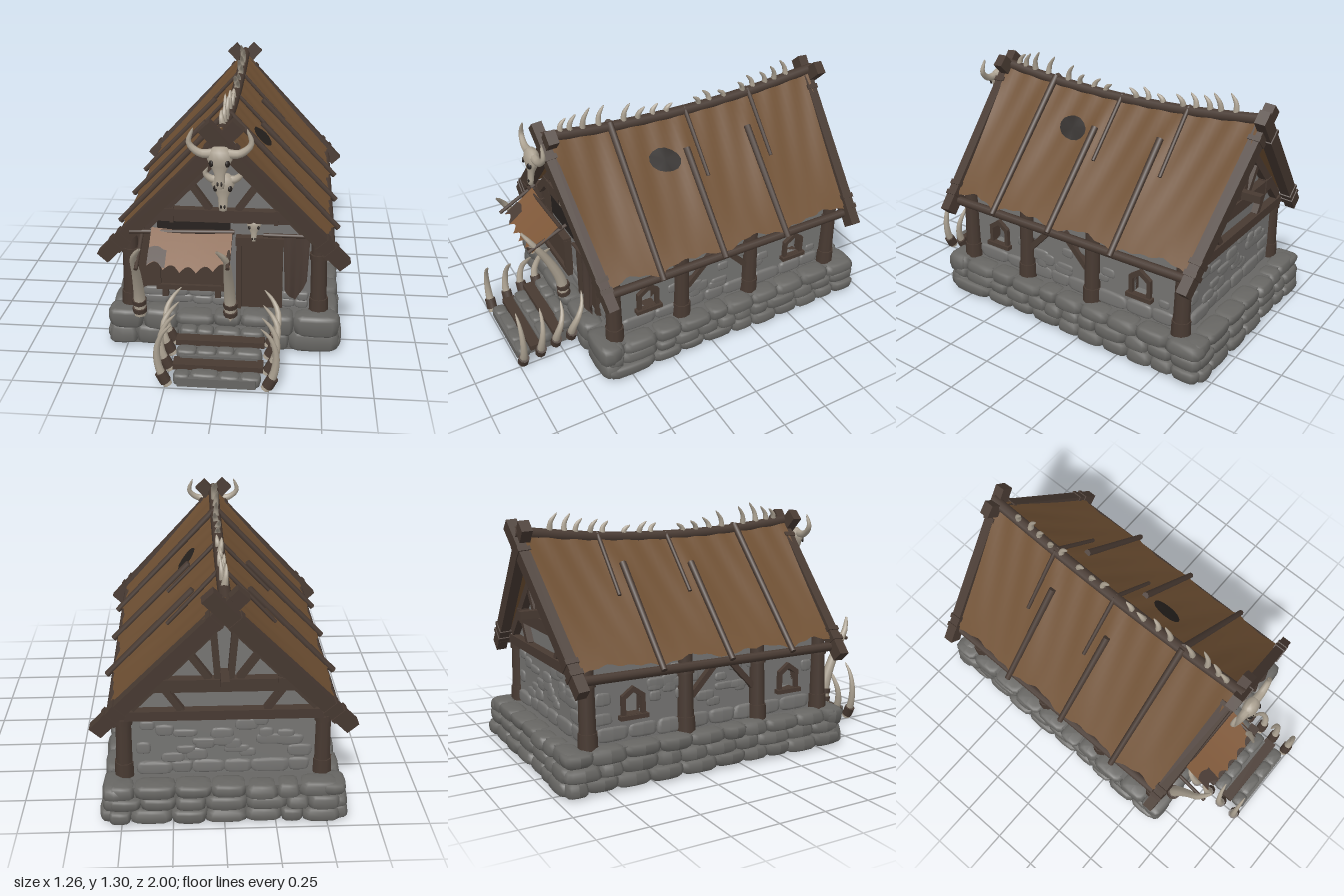
import * as THREE from 'three';

const V = (x, y, z) => new THREE.Vector3(x, y, z);
const mat = (name, color, side = THREE.FrontSide) => {
  const m = new THREE.MeshStandardMaterial({ color, side });
  m.name = name;
  return m;
};

export function createModel() {
  const root = new THREE.Group();
  const M = {
    stone: mat('foundation stone', 0x676663),
    wall: mat('wall stone', 0x757472),
    wood: mat('dark timber', 0x483a32),
    cloth: mat('dark leather', 0x493b34, THREE.DoubleSide),
    hide: mat('roof hide', 0x6f5033, THREE.DoubleSide),
    awning: mat('awning hide', 0x80593a, THREE.DoubleSide),
    bone: mat('bone', 0xaca292, THREE.DoubleSide),
    dark: mat('shadowy hole', 0x26211e, THREE.DoubleSide),
  };
  let seed = 7;
  const rnd = (a = 0, b = 1) => {
    seed = (seed * 16807) % 2147483647;
    return a + (b - a) * (seed / 2147483647);
  };
  const group = (name, parent = root) => {
    const g = new THREE.Group();
    g.name = name;
    parent.add(g);
    return g;
  };
  const add = (parent, name, geo, material) => {
    const m = new THREE.Mesh(geo, material);
    m.name = name;
    parent.add(m);
    return m;
  };
  const block = (p, name, x, y, z, w, h, d, m = M.wood) => add(p, name, new THREE.BoxGeometry(w, h, d).translate(x, y, z), m);
  const between = (mesh, a, b) => {
    mesh.position.copy(a).lerp(b, 0.5);
    mesh.quaternion.setFromUnitVectors(V(0, 1, 0), b.clone().sub(a).normalize());
    return mesh;
  };
  const beam = (p, name, a, b, w, d, m = M.wood) => between(add(p, name, new THREE.BoxGeometry(w, a.distanceTo(b), d), m), a, b);
  const pole = (p, name, a, b, r, r2 = r, m = M.wood) => between(add(p, name, new THREE.CylinderGeometry(r2, r, a.distanceTo(b), 9), m), a, b);

  // Tapered curved horn or tusk
  const tusk = (p, name, pts, r, tip = 0.08) => {
    const curve = new THREE.CatmullRomCurve3(pts), seg = 12, rad = 8;
    const geo = new THREE.TubeGeometry(curve, seg, 1, rad), pos = geo.attributes.position, v = V(0, 0, 0);
    for (let i = 0; i < pos.count; i++) {
      const t = Math.floor(i / (rad + 1)) / seg, c = curve.getPointAt(t);
      v.fromBufferAttribute(pos, i).sub(c).multiplyScalar(r * (tip + (1 - tip) * Math.pow(1 - t, 0.6))).add(c);
      pos.setXYZ(i, v.x, v.y, v.z);
    }
    return add(p, name, geo, M.bone);
  };

  // Rounded boulder: a sphere pushed towards a box, flat on the ground
  const boulder = (p, x, y, z, w, h, d, m = M.stone) => {
    const geo = new THREE.SphereGeometry(1, 12, 8), pos = geo.attributes.position;
    const sq = (n) => Math.sign(n) * Math.pow(Math.abs(n), 0.55);
    const kx = rnd(-0.12, 0.12), ky = rnd(-0.12, 0.12);
    for (let i = 0; i < pos.count; i++) {
      const a = sq(pos.getX(i)), b = sq(pos.getY(i)), c = sq(pos.getZ(i));
      pos.setXYZ(i, x + a * w / 2 * (1 + kx * b), Math.max(0, y + b * h / 2 * (1 + ky * (a + c) / 2)), z + c * d / 2 * (1 + kx * b));
    }
    geo.computeVertexNormals();
    return add(p, 'boulder', geo, m);
  };
  // Course of boulders running along x or z
  const course = (p, axis, from, to, fixed, y, h, depth, size, m) => {
    for (let t = from; t < to - 0.02;) {
      let w = size * rnd(0.7, 1.35);
      if (to - t - w < size * 0.5) w = to - t;
      const c = t + w / 2, hh = h * rnd(0.98, 1.15), f = fixed + rnd(-0.008, 0.008);
      if (axis === 'x') boulder(p, c, y, f, w * 1.06, hh, depth, m);
      else boulder(p, f, y, c, depth, hh, w * 1.06, m);
      t += w;
    }
  };

  // Foundation
  const base = group('foundation');
  block(base, 'foundation core', 0, 0.095, -0.15, 1.1, 0.19, 1.56, M.stone);
  for (let r = 0; r < 3; r++) {
    const y = 0.035 + r * 0.064, inset = r * 0.008;
    for (const s of [-1, 1]) course(base, 'z', -0.96, 0.63, s * (0.543 - inset), y, 0.07, 0.12, 0.15);
    course(base, 'x', -0.56, 0.56, -0.92 + inset, y, 0.07, 0.12, 0.15);
  }
  for (const s of [-1, 1]) for (let r = 0; r < 2; r++)
    course(base, 'x', s < 0 ? -0.59 : 0.23, s < 0 ? -0.23 : 0.59, 0.6, 0.055 + r * 0.09, 0.11, 0.13, 0.15);
  course(base, 'x', -0.24, 0.24, 0.61, 0.165, 0.06, 0.12, 0.17);

  // Entrance steps: stone rows alternating with timber treads
  const steps = group('entrance steps');
  for (const [z, h] of [[0.95, 0.055], [0.82, 0.105], [0.7, 0.15]]) {
    block(steps, 'step core', 0, h * 0.42, z - 0.02, 0.38, h * 0.84, 0.13, M.stone);
    course(steps, 'x', -0.21, 0.21, z, h - 0.03, 0.06, 0.075, 0.11);
  }
  block(steps, 'lower tread', 0, 0.06, 0.888, 0.44, 0.03, 0.07);
  block(steps, 'upper tread', 0, 0.115, 0.762, 0.44, 0.03, 0.06);
  for (const s of [-1, 1]) [[0.98, 0, 0.33], [0.88, 0.02, 0.31], [0.79, 0.05, 0.31], [0.7, 0.06, 0.33]].forEach(([z, y, top], i) => {
    const k = i * 0.012;
    tusk(steps, 'railing tusk', [V(s * 0.235, y, z), V(s * 0.275, y + 0.09, z), V(s * 0.283, (y + top) / 2 + 0.03, z - k), V(s * 0.255, top - 0.05, z - k * 2), V(s * 0.21, top, z - k * 2.5)], 0.024);
    pole(steps, 'tusk binding', V(s * 0.245, y + 0.015, z), V(s * 0.27, y + 0.065, z), 0.029);
  });

  // Walls with real window openings
  const walls = group('walls');
  const windowPts = (z, k) => [[z - 0.042 * k, 0.375 - 0.05 * k], [z + 0.042 * k, 0.375 - 0.05 * k], [z + 0.042 * k, 0.375 + 0.03 * k], [z, 0.375 + 0.06 * k], [z - 0.042 * k, 0.375 + 0.03 * k]].map(([a, b]) => new THREE.Vector2(a, b));
  const windows = [0.35, -0.57];
  for (const s of [-1, 1]) {
    const wall = new THREE.Shape([[-0.82, 0.18], [0.53, 0.18], [0.53, 0.6], [-0.82, 0.6]].map(([a, b]) => new THREE.Vector2(a, b)));
    windows.forEach((z) => wall.holes.push(new THREE.Path(windowPts(z, 1))));
    const side = (shape, outer, depth) => new THREE.ExtrudeGeometry(shape, { depth, bevelEnabled: false }).rotateY(-Math.PI / 2).translate(s > 0 ? outer : depth - outer, 0, 0);
    add(walls, 'side wall', side(wall, 0.47, 0.04), M.wall);
    windows.forEach((z) => {
      const frame = new THREE.Shape(windowPts(z, 1.5));
      frame.holes.push(new THREE.Path(windowPts(z, 1)));
      add(walls, 'window frame', side(frame, 0.492, 0.06), M.wood);
      block(walls, 'window sill', s * 0.485, 0.313, z, 0.04, 0.022, 0.15);
    });
    course(walls, 'z', -0.76, 0.5, s * 0.468, 0.235, 0.07, 0.035, 0.14, M.wall);
    for (let i = 0; i < 26; i++) {
      const z = rnd(-0.74, 0.48), y = rnd(0.29, 0.52);
      if (windows.every((w) => Math.abs(w - z) > 0.12)) boulder(walls, s * 0.468, y, z, 0.024, rnd(0.04, 0.07), rnd(0.06, 0.12), M.wall);
    }
  }
  const gable = new THREE.Shape([[-0.47, 0.18], [0.47, 0.18], [0.47, 0.6], [0, 1.09], [-0.47, 0.6]].map(([a, b]) => new THREE.Vector2(a, b)));
  for (const z of [0.49, -0.82]) add(walls, 'gable wall', new THREE.ExtrudeGeometry(gable, { depth: 0.04, bevelEnabled: false }).translate(0, 0, z), M.wall);
  course(walls, 'x', -0.42, 0.42, -0.82, 0.235, 0.07, 0.035, 0.14, M.wall);
  for (let i = 0; i < 22; i++) boulder(walls, rnd(-0.4, 0.4), rnd(0.29, 0.5), -0.82, rnd(0.07, 0.13), rnd(0.04, 0.07), 0.024, M.wall);
  for (const [a, b] of [[-0.42, 0.06], [0.29, 0.43]]) for (const y of [0.22, 0.265]) course(walls, 'x', a, b, 0.533, y, 0.045, 0.035, 0.1, M.wall);

  // Posts, braces and eave poles
  const frame = group('timber frame');
  for (const s of [-1, 1]) {
    for (const z of [0.55, 0.15, -0.28, -0.81]) {
      pole(frame, 'post', V(s * 0.485, 0.18, z), V(s * 0.475, 0.6, z), 0.044, 0.038);
      pole(frame, 'post collar', V(s * 0.485, 0.19, z), V(s * 0.484, 0.27, z), 0.05, 0.048);
      pole(frame, 'post top collar', V(s * 0.478, 0.49, z), V(s * 0.476, 0.52, z), 0.047);
    }
    beam(frame, 'side brace', V(s * 0.485, 0.37, 0.12), V(s * 0.485, 0.53, -0.03), 0.03, 0.03);
    beam(frame, 'side brace', V(s * 0.485, 0.37, -0.25), V(s * 0.485, 0.53, -0.1), 0.03, 0.03);
    pole(frame, 'eave pole', V(s * 0.535, 0.535, 0.62), V(s * 0.535, 0.535, -0.9), 0.024);
    // Crossing gable rafters, leaning outwards at the ridge
    for (const [zb, zt] of [[0.61, 0.665], [-0.88, -0.95]]) {
      const a = V(s * 0.605, 0.49, zb), b = V(-s * 0.08, 1.215, zt + s * 0.012);
      beam(frame, 'gable rafter', a, b, 0.072, 0.055);
      for (const t of [0.09, 0.15, 0.8]) beam(frame, 'rafter binding', a.clone().lerp(b, t), a.clone().lerp(b, t + 0.025), 0.084, 0.066);
    }
  }
  for (const [z, d] of [[0.55, 1], [-0.84, -1]]) {
    beam(frame, 'tie beam', V(-0.33, 0.71, z), V(0.33, 0.71, z), 0.065, 0.05);
    for (const s of [-1, 1]) {
      beam(frame, 'inner rafter', V(s * 0.44, 0.59, z), V(0, 1.05, z), 0.045, 0.04);
      beam(frame, 'gable strut', V(s * 0.07, 0.74, z), V(s * 0.16, 0.87, z), 0.032, 0.035);
      beam(frame, 'tie binding', V(s * 0.25, 0.71, z), V(s * 0.27, 0.71, z), 0.075, 0.06);
      if (d < 0) {
        beam(frame, 'fan strut', V(s * 0.03, 0.74, z), V(s * 0.05, 0.99, z), 0.032, 0.035);
        beam(frame, 'fan strut', V(s * 0.2, 0.57, z), V(s * 0.28, 0.69, z), 0.032, 0.035);
      }
    }
  }
  beam(frame, 'back cross beam', V(-0.47, 0.55, -0.84), V(0.47, 0.55, -0.84), 0.05, 0.05);
  beam(frame, 'beam end', V(0, 0.765, -0.96), V(0, 0.765, -0.83), 0.04, 0.04);

  // Hide roof, sagging between the poles
  const roof = group('roof');
  const ridgeY = (z) => 1.115 + 0.05 * Math.pow((z + 0.15) / 0.78, 2);
  const poleZ = [0.64, 0.31, -0.06, -0.45, -0.92];
  const roofPoint = (s, u, v, lift = 0) => {
    const z = THREE.MathUtils.lerp(0.59 + 0.06 * (1 - u), -0.865 - 0.07 * (1 - u), v);
    const i = Math.max(0, Math.min(3, poleZ.findIndex((p, k) => k > 0 && z >= p) - 1));
    const sag = Math.sin(Math.PI * THREE.MathUtils.clamp((poleZ[i] - z) / (poleZ[i] - poleZ[i + 1]), 0, 1));
    const ripple = 0.004 * Math.sin(v * 70 + u * 6) * (1 - u);
    const x = u * (0.555 - 0.025 * sag * u + 0.008 * u * Math.sin(v * 61) * Math.sin(v * 23));
    const y = ridgeY(z) + 0.022 - (ridgeY(z) - 0.52) * x / 0.575 - 0.016 * sag * Math.sin(Math.PI * u) + ripple + lift;
    return V(s * (x + lift * 0.7), y, z);
  };
  for (const s of [-1, 1]) {
    const geo = new THREE.PlaneGeometry(1, 1, 18, 60), uv = geo.attributes.uv, pos = geo.attributes.position;
    for (let i = 0; i < pos.count; i++) {
      const p = roofPoint(s, uv.getX(i), uv.getY(i));
      pos.setXYZ(i, p.x, p.y, p.z);
    }
    if (s > 0) geo.index.array.reverse();
    geo.computeVertexNormals();
    if (geo.attributes.normal.getY(300) < 0) { geo.index.array.reverse(); geo.computeVertexNormals(); }
    add(roof, 'hide slope', geo, M.hide);
    for (const [z, a, b, r] of [[0.31, 0, 1.04, 0.019], [-0.06, 0.27, 1.04, 0.019], [-0.45, 0.24, 1.04, 0.019], [-0.13, 0, 0.48, 0.012], [-0.53, 0, 0.48, 0.012]]) {
      const v = (0.62 - z) / 1.52;
      const p = roofPoint(s, a, v, 0.006), q = roofPoint(s, b, v, 0.006);
      p.z = q.z = z;
      pole(roof, 'roof pole', p, q, r, r * 0.85);
    }
  }
  // Torn hole on the left slope
  const tear = new THREE.CircleGeometry(1, 14), tp = tear.attributes.position;
  for (let i = 0; i < tp.count; i++) {
    const p = roofPoint(1, 0.3 + tp.getX(i) * 0.085, 0.36 + tp.getY(i) * 0.055 + tp.getX(i) * 0.012, 0.005);
    tp.setXYZ(i, p.x, p.y, p.z);
  }
  tear.computeVertexNormals();
  add(roof, 'torn hole', tear, M.dark);
  // Ridge pole and spines
  const ridge = new THREE.CatmullRomCurve3([0.68, 0.3, -0.15, -0.55, -0.97].map((z) => V(0, ridgeY(z) + 0.008, z)));
  add(roof, 'ridge pole', new THREE.TubeGeometry(ridge, 24, 0.03, 8), M.wood);
  [[0.58, 0.07], [0.53, 0.09], [0.46, 0.12], [0.37, 0.11], [0.23, 0.1], [0.15, 0.07], [0.06, 0.06], [-0.02, 0.05], [-0.22, 0.06], [-0.29, 0.07], [-0.38, 0.05], [-0.5, 0.07], [-0.57, 0.08], [-0.65, 0.08], [-0.71, 0.1], [-0.79, 0.1]].forEach(([z, h], i) => {
    const y = ridgeY(z) + 0.02, x = (i % 3 - 1) * 0.008, d = z > -0.2 ? -1 : 1;
    tusk(roof, 'ridge spine', [V(0, y, z), V(x, y + h * 0.55, z + d * 0.008), V(x * 1.5, y + h, z + d * 0.04)], 0.018);
  });

  // Horned skulls
  const skull = (name, x, y, z, k, hornWide, hornUp) => {
    const g = group(name);
    const prof = [[0.001, -0.52], [0.1, -0.5], [0.12, -0.36], [0.13, -0.15], [0.22, 0.04], [0.3, 0.2], [0.27, 0.38], [0.16, 0.48], [0.001, 0.5]].map(([a, b]) => new THREE.Vector2(a, b));
    add(g, 'skull bone', new THREE.LatheGeometry(prof, 14).scale(1, 1, 0.62), M.bone);
    for (const s of [-1, 1]) {
      const eye = add(g, 'eye socket', new THREE.SphereGeometry(0.075, 10, 6).scale(0.9, 1.1, 0.5), M.dark);
      eye.position.set(s * 0.19, 0.12, 0.13);
      eye.rotation.y = s * 0.75;
      const nose = add(g, 'nostril', new THREE.SphereGeometry(0.03, 8, 6).scale(0.8, 2, 0.5), M.dark);
      nose.position.set(s * 0.045, -0.38, 0.068);
      tusk(g, 'horn', [V(s * 0.14, 0.33, 0), V(s * hornWide * 0.65, 0.34, 0), V(s * hornWide, 0.34 + hornUp * 0.4, 0), V(s * hornWide * 0.86, 0.34 + hornUp, 0.02)], 0.12);
    }
    g.position.set(x, y, z);
    g.scale.setScalar(k);
    g.rotation.x = -0.12;
  };
  skull('great gable skull', 0, 1.035, 0.745, 0.2, 0.72, 0.58);
  skull('middle gable skull', 0, 0.85, 0.59, 0.19, 0.46, 0.36);
  skull('door skull', 0.15, 0.64, 0.56, 0.12, 0.4, 0.32);

  // Front: door, counter and panels
  const front = group('shop front');
  block(front, 'door', 0.18, 0.37, 0.535, 0.2, 0.36, 0.02);
  beam(front, 'door lintel', V(0.06, 0.575, 0.55), V(0.31, 0.575, 0.55), 0.045, 0.045);
  for (const x of [0.075, 0.285]) block(front, 'door jamb', x, 0.38, 0.545, 0.025, 0.38, 0.04);
  block(front, 'left panel', -0.39, 0.44, 0.53, 0.11, 0.34, 0.02);
  block(front, 'shutter opening', -0.155, 0.58, 0.53, 0.37, 0.2, 0.01, M.dark);
  block(front, 'counter board', -0.165, 0.42, 0.58, 0.33, 0.2, 0.03);
  for (const y of [0.325, 0.52]) block(front, 'counter rail', -0.165, y, 0.59, 0.35, 0.028, 0.045);
  for (const x of [-0.33, 0]) block(front, 'counter stile', x, 0.42, 0.588, 0.024, 0.2, 0.042);
  for (const x of [-0.3, -0.03]) block(front, 'counter peg', x, 0.29, 0.575, 0.03, 0.06, 0.03);

  // Awning on two leaning tusks
  const awning = group('awning');
  for (const [x, d] of [[-0.425, 1], [0.04, -1]]) {
    tusk(awning, 'awning tusk', [V(x, 0.18, 0.64), V(x + d * 0.002, 0.3, 0.655), V(x + d * 0.005, 0.45, 0.715), V(x + d * 0.01, 0.58, 0.79), V(x + d * 0.05, 0.645, 0.835)], 0.033, 0.2);
    for (const y of [0.2, 0.245]) pole(awning, 'tusk binding', V(x, y, 0.642), V(x, y + 0.025, 0.647), 0.037);
  }
  pole(awning, 'awning rod', V(-0.46, 0.645, 0.64), V(0.06, 0.66, 0.64), 0.011);
  pole(awning, 'awning side rod', V(-0.4, 0.65, 0.6), V(-0.4, 0.53, 0.82), 0.01);
  pole(awning, 'awning side rod', V(0.04, 0.65, 0.6), V(0.04, 0.55, 0.82), 0.01);
  const sheet = (parent, name, nx, ny, fn, m) => {
    const geo = new THREE.PlaneGeometry(1, 1, nx, ny), p = geo.attributes.position, uv = geo.attributes.uv;
    for (let i = 0; i < p.count; i++) p.setXYZ(i, ...fn(uv.getX(i), 1 - uv.getY(i)));
    geo.computeVertexNormals();
    return add(parent, name, geo, m);
  };
  const awningPoint = (u, v) => {
    const w = v * (1 - 0.16 * Math.abs(Math.sin(u * Math.PI * 5)) + 0.1 * Math.sin(u * 3.1));
    return [-0.35 + 0.4 * u, 0.67 - 0.125 * w - 0.012 * Math.sin(Math.PI * u), 0.635 + 0.17 * w];
  };
  sheet(awning, 'awning sheet', 30, 6, awningPoint, M.awning);
  sheet(awning, 'awning patch', 6, 4, (u, v) => {
    const [x, y, z] = awningPoint(u * 0.22, 0.55 + v * 0.45);
    return [x, y + 0.004, z + 0.004];
  }, M.cloth);

  // Hanging leather banner beside the door
  const banner = group('hanging banner');
  pole(banner, 'banner rod', V(0.2, 0.645, 0.63), V(0.46, 0.645, 0.63), 0.01);
  sheet(banner, 'banner cloth', 10, 8, (u, v) => [0.3 + 0.13 * u + 0.02 * v * (0.5 - u), 0.645 - v * (0.3 + 0.09 * (1 - Math.abs(u - 0.5) * 2) - 0.06 * u), 0.632 + 0.012 * Math.sin(u * 9) * (0.3 + v)], M.cloth);

  return root;
}
